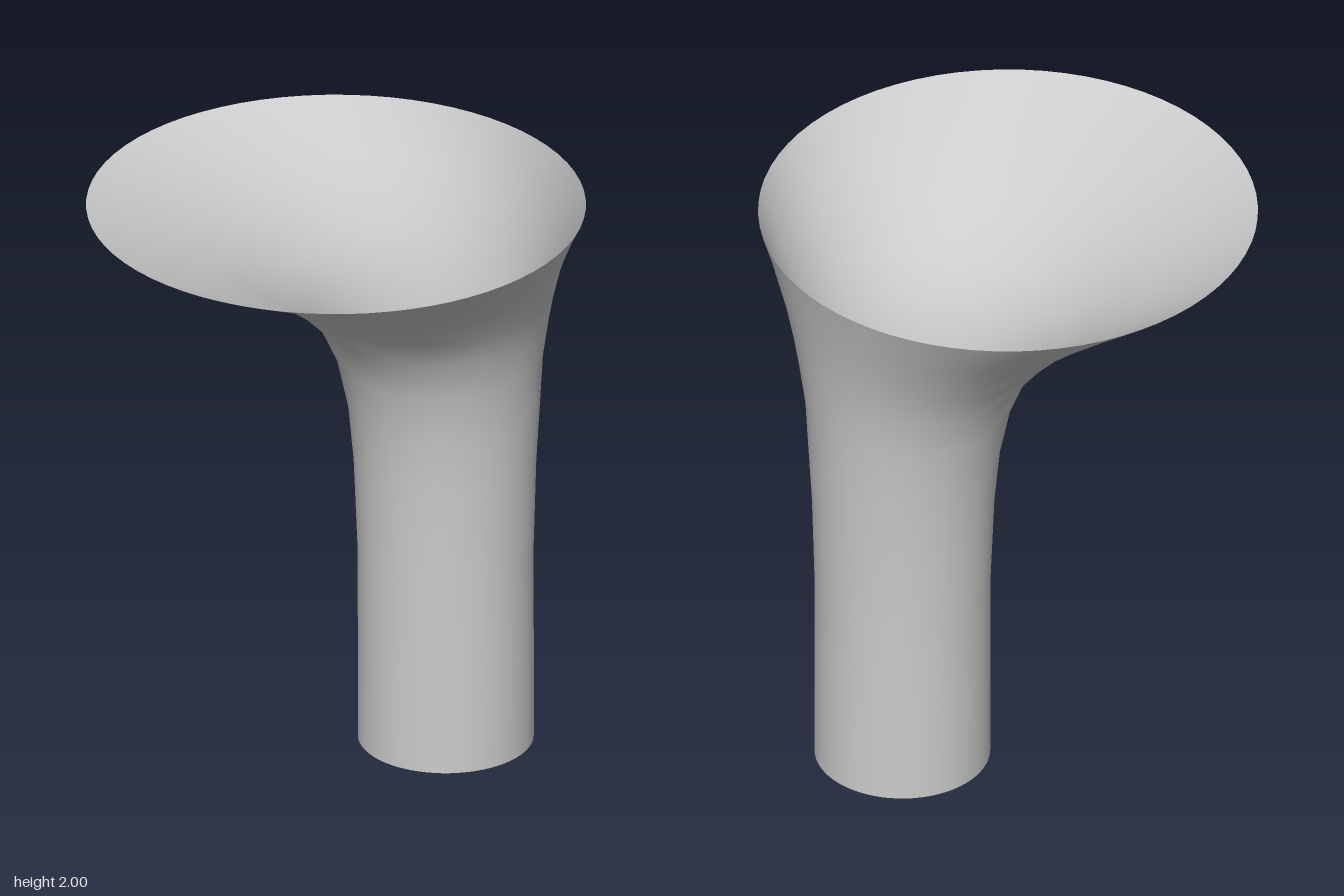
import * as THREE from 'three';

// Cross-sections of the funnel: height, centre x, centre z, radius
const RINGS = [
  [0, 0.125, -0.37, 0.287],
  [0.35, 0.125, -0.37, 0.287],
  [0.68, 0.124, -0.37, 0.287],
  [1.0, 0.119, -0.372, 0.298],
  [1.2, 0.116, -0.37, 0.313],
  [1.38, 0.109, -0.357, 0.337],
  [1.53, 0.103, -0.332, 0.38],
  [1.64, 0.087, -0.288, 0.442],
  [1.75, 0.067, -0.227, 0.524],
  [1.835, 0.045, -0.161, 0.612],
  [1.92, 0.022, -0.078, 0.714],
  [2.0, 0, 0, 0.815],
];
const SIDES = 72;

// Joins circular cross-sections into one open, smooth skin
function loftCircles(rings, sides) {
  const positions = [];
  const indices = [];
  rings.forEach(([y, cx, cz, r], i) => {
    for (let j = 0; j < sides; j++) {
      const a = (j / sides) * Math.PI * 2;
      positions.push(cx + r * Math.cos(a), y, cz + r * Math.sin(a));
      if (i === rings.length - 1) continue;
      const p = i * sides + j;
      const q = i * sides + ((j + 1) % sides);
      indices.push(p, p + sides, q, q, p + sides, q + sides);
    }
  });
  const geometry = new THREE.BufferGeometry();
  geometry.setAttribute('position', new THREE.Float32BufferAttribute(positions, 3));
  geometry.setIndex(indices);
  geometry.computeVertexNormals();
  return geometry;
}

export function createModel() {
  const group = new THREE.Group();
  group.name = 'offsetFunnel';

  // Thin tube that flares off-centre into a wide open mouth
  const material = new THREE.MeshStandardMaterial({ color: 0xcccccc, side: THREE.DoubleSide });
  const funnel = new THREE.Mesh(loftCircles(RINGS, SIDES), material);
  funnel.name = 'flaredTube';
  group.add(funnel);

  return group;
}
